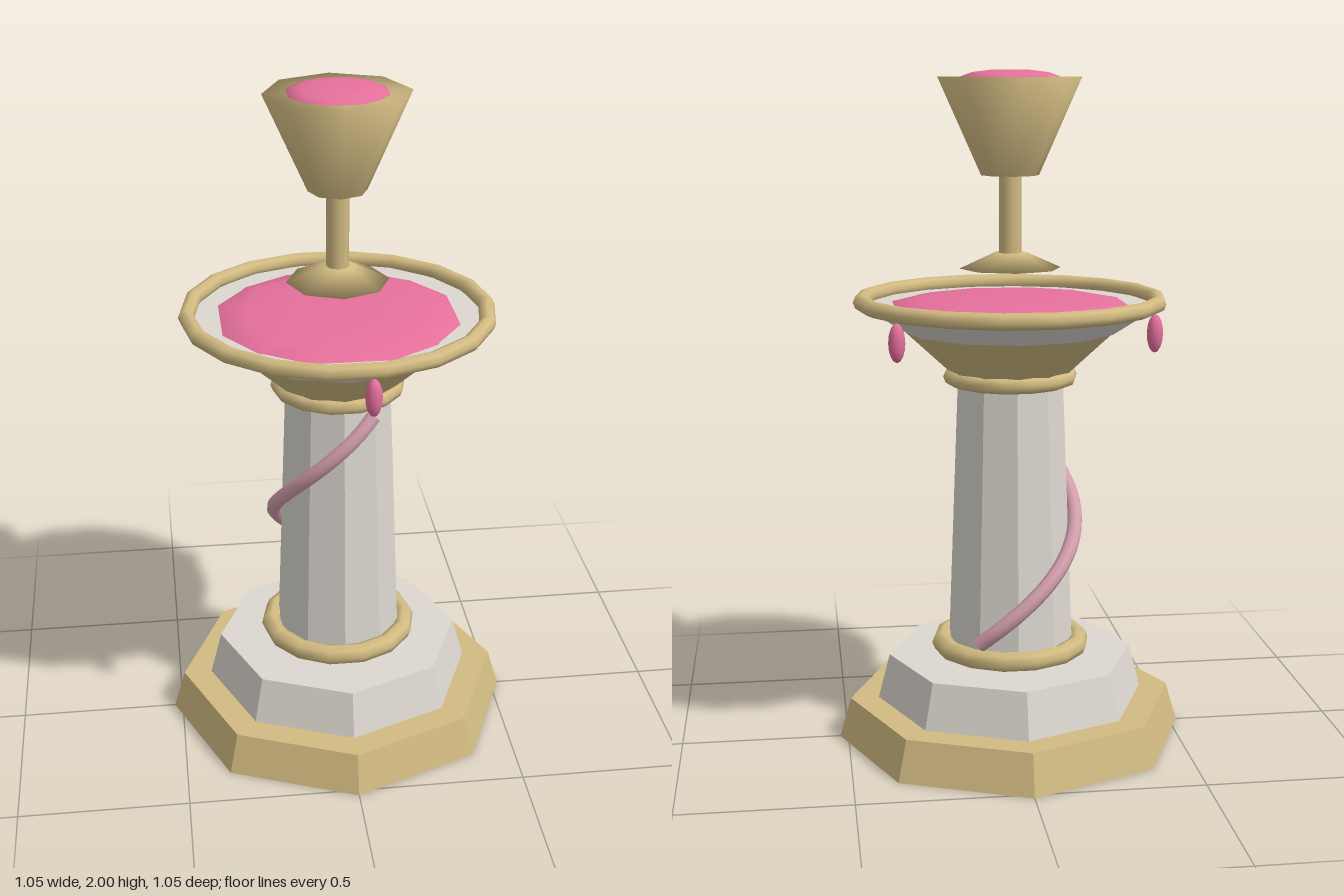
import * as THREE from 'three';
import { mergeVertices } from 'three/addons/utils/BufferGeometryUtils.js';

const paint = (name, color, flatShading = false) => {
  const m = new THREE.MeshStandardMaterial({ color, flatShading });
  m.name = name;
  return m;
};

// Weld a geometry and give it smooth normals
function smooth(geo) {
  geo.deleteAttribute('normal');
  geo.deleteAttribute('uv');
  const welded = mergeVertices(geo, 1e-4);
  welded.computeVertexNormals();
  return welded;
}

// Cube projected onto a sphere, then flattened into a dome
function cubeDome(radius, halfHeight) {
  const geo = new THREE.BoxGeometry(2, 2, 2, 3, 3, 3);
  const p = geo.attributes.position;
  const v = new THREE.Vector3();
  for (let i = 0; i < p.count; i++) {
    v.fromBufferAttribute(p, i).normalize();
    p.setXYZ(i, v.x * radius, v.y * halfHeight, v.z * radius);
  }
  return smooth(geo);
}

export function createModel() {
  const gold = paint('gold', 0xd2bb82);
  const stone = paint('stone', 0xdcd8d0);
  const pink = paint('pink', 0xe6709c);
  const mauve = paint('mauve', 0xd6a0b0);

  const model = new THREE.Group();
  model.name = 'fountain';

  const add = (name, geo, mat, y = 0) => {
    const mesh = new THREE.Mesh(geo, mat);
    mesh.name = name;
    mesh.position.y = y;
    model.add(mesh);
    return mesh;
  };
  // Faceted frustum between two heights
  const frustum = (y0, y1, r0, r1, sides) => {
    const geo = new THREE.CylinderGeometry(r1, r0, y1 - y0, sides);
    geo.translate(0, (y0 + y1) / 2, 0);
    return geo;
  };
  const faceted = (...args) => {
    const geo = frustum(...args).toNonIndexed();
    geo.computeVertexNormals();
    return geo;
  };
  const ring = (name, y, radius, tube, segments) => {
    const geo = new THREE.TorusGeometry(radius, tube, 8, segments);
    geo.rotateX(-Math.PI / 2);
    return add(name, geo, gold, y);
  };

  // Stepped base and column
  add('basePlinth', faceted(0, 0.12, 0.525, 0.49, 8), gold);
  add('baseStep', faceted(0.12, 0.255, 0.405, 0.37, 8), stone);
  ring('columnBaseRing', 0.288, 0.21, 0.03, 14);
  add('column', faceted(0.255, 1.12, 0.192, 0.158, 10), stone);
  ring('columnTopRing', 1.11, 0.175, 0.025, 14);

  // Basin
  add('basinSupport', faceted(1.12, 1.25, 0.175, 0.315, 12), gold);
  add('basin', faceted(1.25, 1.322, 0.32, 0.43, 12), stone);
  ring('basinRim', 1.335, 0.438, 0.024, 18);
  add('basinPool', cubeDome(0.377, 0.04), pink, 1.31);

  // Hanging drops under the rim
  for (let i = 0; i < 3; i++) {
    const a = THREE.MathUtils.degToRad(84 + i * 120);
    const drop = add('drop' + (i + 1), new THREE.SphereGeometry(1, 10, 8), pink, 1.255);
    drop.scale.set(0.024, 0.056, 0.024);
    drop.position.x = 0.435 * Math.cos(a);
    drop.position.z = 0.435 * Math.sin(a);
  }

  // Goblet floating over the basin
  add('gobletFoot', smooth(frustum(1.43, 1.475, 0.15, 0.05, 8)), gold);
  add('gobletStem', new THREE.CylinderGeometry(0.033, 0.033, 0.25, 8), gold, 1.585);
  add('gobletCup', smooth(frustum(1.7, 1.98, 0.085, 0.21, 8)), gold);
  add('gobletFill', cubeDome(0.155, 0.033), pink, 1.97);

  // Vine winding down around the column
  const points = [];
  for (let i = 0; i <= 16; i++) {
    const t = i / 16;
    const a = THREE.MathUtils.degToRad(29 - 242 * t);
    const r = 0.178 + 0.032 * t;
    points.push(new THREE.Vector3(r * Math.sin(a), 1.065 - 0.73 * t, r * Math.cos(a)));
  }
  const path = new THREE.CatmullRomCurve3(points);
  add('vine', new THREE.TubeGeometry(path, 48, 0.023, 8), mauve);
  for (const t of [0, 1]) {
    const end = path.getPointAt(t);
    const cap = add('vineEnd' + t, new THREE.CircleGeometry(0.023, 8), mauve);
    cap.position.copy(end);
    cap.lookAt(end.clone().addScaledVector(path.getTangentAt(t), t ? 1 : -1));
  }
  return model;
}
